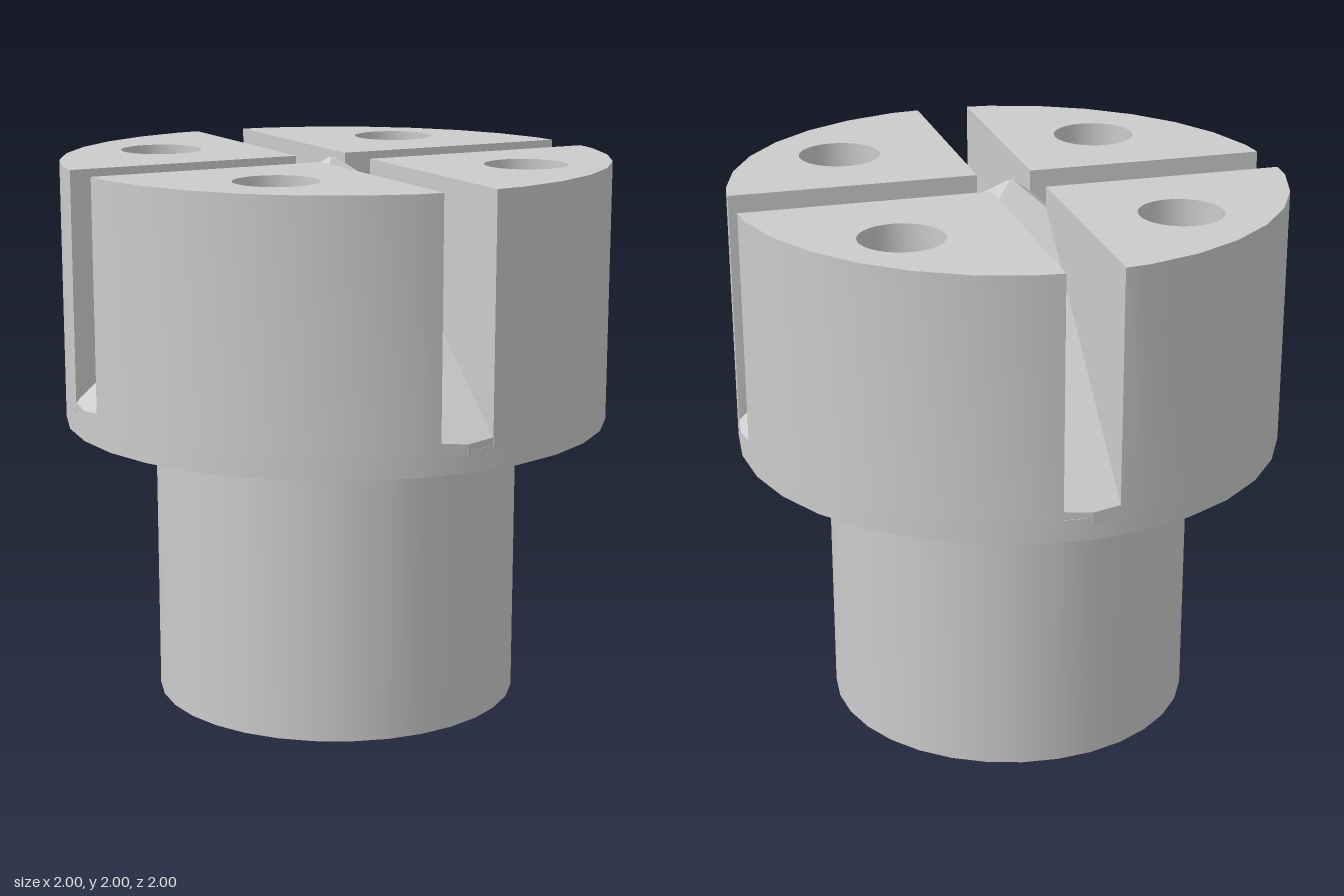
import * as THREE from 'three';
import { toCreasedNormals } from 'three/addons/utils/BufferGeometryUtils.js';

const SIDES = 32, TOP = 2, PLATE_TOP = 1.13, HEAD_BOTTOM = 1.05;
const SLOT_X = -0.012, HALF_SLOT = 0.1;

// Points of the head outline in the plan, as [x, z]
const rim = Array.from({ length: SIDES }, (_, i) => {
  const a = (i / SIDES) * Math.PI * 2;
  return [Math.cos(a), Math.sin(a)];
});

// Distance to the faceted rim at a small sideways offset s
const rimAt = (s) => {
  const a = Math.PI * 2 / SIDES;
  return 1 - Math.abs(s) * (1 - Math.cos(a)) / Math.sin(a);
};

export function createModel() {
  const group = new THREE.Group();
  const material = new THREE.MeshStandardMaterial({ color: 0xcccccc });
  const add = (name, geometry) => {
    const mesh = new THREE.Mesh(geometry, material);
    mesh.name = name;
    group.add(mesh);
    return mesh;
  };

  // Round stem and the plate under the slotted head
  add('stem', new THREE.CylinderGeometry(0.67, 0.67, HEAD_BOTTOM, SIDES)).position.y = HEAD_BOTTOM / 2;
  const plateHeight = PLATE_TOP - HEAD_BOTTOM;
  add('headPlate', new THREE.CylinderGeometry(1, 1, plateHeight, SIDES)).position.y =
    HEAD_BOTTOM + plateHeight / 2;

  // Four quarter blocks, each with a round blind hole
  for (const sx of [1, -1]) {
    for (const sz of [1, -1]) {
      const x = SLOT_X + sx * HALF_SLOT, z = sz * HALF_SLOT;
      const arc = rim
        .map(([c, s]) => [Math.abs(c) * sx, Math.abs(s) * sz, c * sx, s * sz])
        .filter(([, , c, s]) => c > HALF_SLOT && s > HALF_SLOT)
        .sort((a, b) => a[3] - b[3]);
      const outline = [[x, z], [sx * rimAt(z), z], ...arc, [x, sz * rimAt(x)]];
      const shape = new THREE.Shape(outline.map(([px, pz]) => new THREE.Vector2(px, pz)));
      const hole = new THREE.Path();
      hole.absarc(0.018 + sx * 0.492, -0.01 + sz * 0.495, 0.15, 0, Math.PI * 2);
      shape.holes.push(hole);
      const block = new THREE.ExtrudeGeometry(shape, {
        depth: TOP - PLATE_TOP, bevelEnabled: false, curveSegments: 16,
      });
      block.rotateX(Math.PI / 2).translate(0, TOP, 0);
      add('quarterBlock', toCreasedNormals(block, 0.6));
    }
  }

  // Slot floors: ramps that rise from the rim to a small peak in the middle
  const tip = 0.012;
  for (let k = 0; k < 4; k++) {
    const angle = k * Math.PI / 2;
    const reach = 1 - Math.sin(angle) * SLOT_X;
    const shape = new THREE.Shape([
      [-tip, tip], [tip, tip], [HALF_SLOT, HALF_SLOT], [HALF_SLOT, reach - 0.011],
      [0, reach], [-HALF_SLOT, reach - 0.011], [-HALF_SLOT, HALF_SLOT],
    ].map(([s, d]) => new THREE.Vector2(s, d)));
    const ramp = new THREE.ExtrudeGeometry(shape, { depth: 1, bevelEnabled: false });
    ramp.rotateX(Math.PI / 2);
    const p = ramp.attributes.position;
    for (let i = 0; i < p.count; i++) {
      const isTop = p.getY(i) > -0.5;
      p.setY(i, isTop ? TOP - 0.86 * (p.getZ(i) - tip) : PLATE_TOP - 0.02);
    }
    ramp.computeVertexNormals();
    ramp.rotateY(angle).translate(SLOT_X, 0, 0);
    add('slotRamp', ramp);
  }
  // Flat tip where the ramps meet
  add('rampPeak', new THREE.BoxGeometry(tip * 2, 0.1, tip * 2)).position.set(SLOT_X, TOP - 0.05, 0);

  return group;
}
